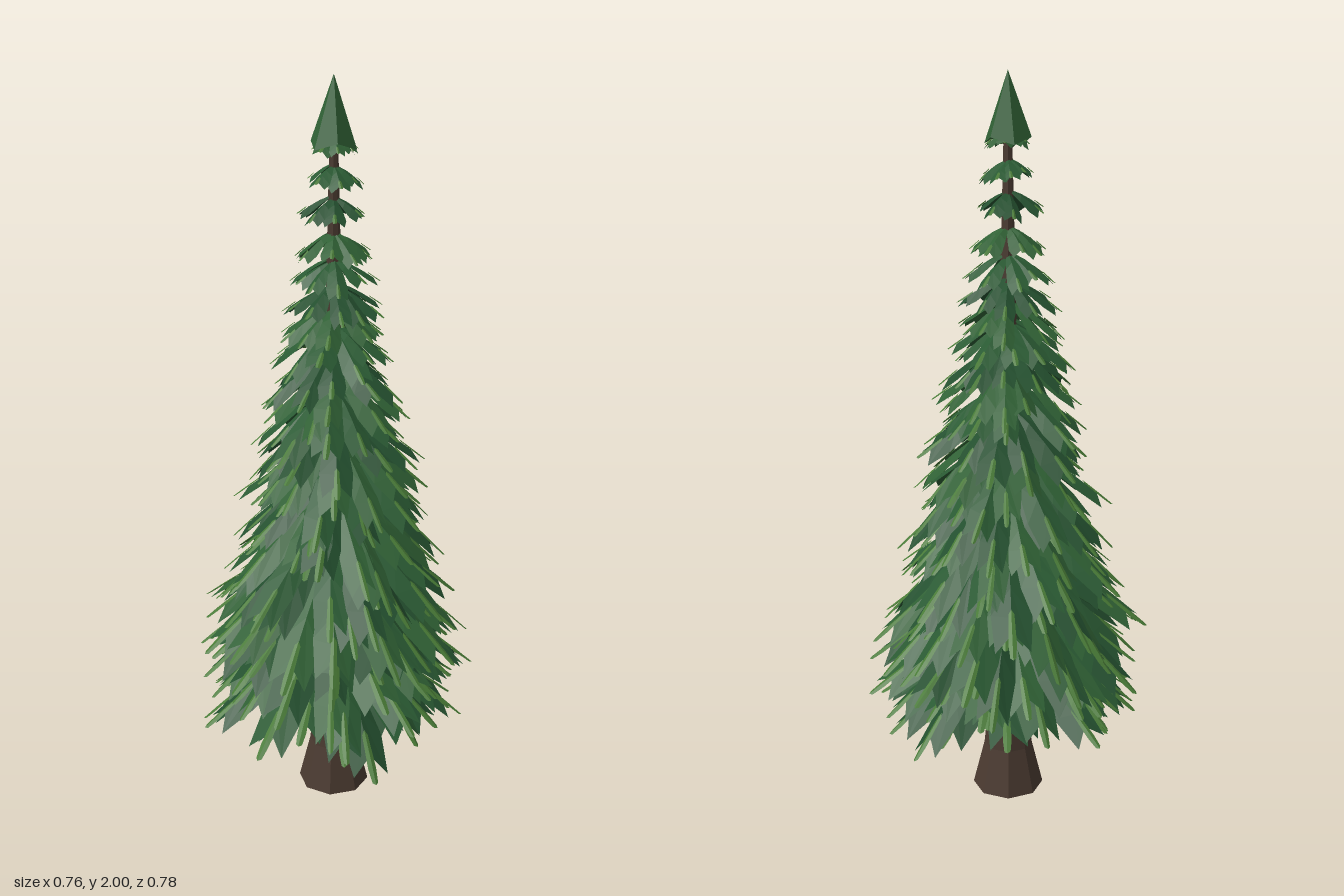
import * as THREE from 'three';
import { mergeGeometries } from 'three/addons/utils/BufferGeometryUtils.js';

const AXIS_X = -0.01, AXIS_Z = 0.01;

// Small seeded generator, returns 0..1
let seed = 7;
function rand() {
  seed = (seed * 16807) % 2147483647;
  return seed / 2147483647;
}
const vary = (amount) => (rand() * 2 - 1) * amount;

// Branch envelope: [attachment height, reach, droop]
const ENVELOPE = [
  [0.49, 0.36, 0.24], [0.62, 0.375, 0.25], [0.75, 0.36, 0.26], [0.90, 0.315, 0.23],
  [1.05, 0.26, 0.19], [1.20, 0.22, 0.15], [1.35, 0.18, 0.11], [1.46, 0.145, 0.085],
  [1.62, 0.105, 0.06], [1.78, 0.078, 0.045], [1.85, 0.06, 0.035],
];
function envelopeAt(y) {
  let i = 0;
  while (i < ENVELOPE.length - 2 && y > ENVELOPE[i + 1][0]) i++;
  const a = ENVELOPE[i], b = ENVELOPE[i + 1];
  const t = (y - a[0]) / (b[0] - a[0]);
  return [1, 2].map((k) => THREE.MathUtils.lerp(a[k], b[k], t));
}

// Frond sections: [position along spine, position along edge, half width]
const BLADE = [[0, 0, 0.25], [0.3, 0.35, 0.7], [0.55, 0.66, 1], [0.74, 0.9, 0.85], [0.84, 0.85, 0.25]];
const FINGER = [[0.7, 0.72, 0.14], [0.88, 0.9, 0.2], [1, 0.98, 0.14]];

// Ridged, drooping strip that grows along +x from the trunk
function frondStrip(sections, reach, droop, halfWidth, lift) {
  const start = 0.01;
  const drop = (t) => -droop * Math.pow(t, 1.3);
  const pos = [], index = [];
  sections.forEach(([ts, te, w], i) => {
    const side = w * halfWidth;
    const ex = start + te * (reach - start);
    const ey = drop(te) - side * 0.5 + lift;
    pos.push(ex, ey, -side);
    pos.push(start + ts * (reach - start), drop(ts) + lift, 0);
    pos.push(ex, ey, side);
    if (i === 0) return;
    const a = (i - 1) * 3, b = i * 3;
    for (let k = 0; k < 2; k++) {
      index.push(a + k, a + k + 1, b + k, a + k + 1, b + k + 1, b + k);
    }
  });
  const g = new THREE.BufferGeometry();
  g.setAttribute('position', new THREE.Float32BufferAttribute(pos, 3));
  g.setIndex(index);
  g.computeVertexNormals();
  return g;
}

function createTrunk(material) {
  // Flared foot, then a long taper
  const profile = [[0, 0], [0.1, 0], [0.068, 0.13], [0.054, 0.27], [0.036, 0.8], [0.022, 1.4], [0.01, 1.88]]
    .map(([r, y]) => new THREE.Vector2(r, y));
  const trunk = new THREE.Mesh(new THREE.LatheGeometry(profile, 8), material);
  trunk.name = 'trunk';
  return trunk;
}

function createTier(y, count, turn, bladeMaterial, tipMaterial) {
  const tier = new THREE.Group();
  tier.name = 'branchTier';
  const [reach, droop] = envelopeAt(y);
  const blades = [], tips = [];
  for (let i = 0; i < count; i++) {
    const scale = 0.95 + vary(0.13);
    const r = reach * scale;
    const d = droop * scale * (1 + vary(0.15));
    const width = (0.017 + 0.1 * reach) * (1 + vary(0.15));
    const angle = turn + ((i + vary(0.25)) / count) * Math.PI * 2;
    const height = y + vary(0.05 * reach);
    const roll = vary(0.25);
    const place = (g) => g.rotateX(roll).rotateY(angle).translate(0, height, 0);
    blades.push(place(frondStrip(BLADE, r, d, width, 0)));
    tips.push(place(frondStrip(FINGER, r, d, width, 0.005)));
  }
  const blade = new THREE.Mesh(mergeGeometries(blades), bladeMaterial);
  blade.name = 'fronds';
  const tip = new THREE.Mesh(mergeGeometries(tips), tipMaterial);
  tip.name = 'frondTips';
  tier.add(blade, tip);
  return tier;
}

function createCrown(material) {
  // Pointed top with a slightly ragged skirt
  const g = new THREE.ConeGeometry(0.062, 0.18, 6, 1, true);
  const p = g.attributes.position;
  for (let i = 0; i < p.count; i++) {
    if (p.getY(i) < 0) p.setY(i, p.getY(i) + ((i % 7) % 2 ? 0.018 : 0));
  }
  const crown = new THREE.Mesh(g, material);
  crown.position.y = 1.91;
  crown.name = 'crown';
  return crown;
}

export function createModel() {
  const paint = (color) => new THREE.MeshStandardMaterial({ color, flatShading: true, side: THREE.DoubleSide });
  const bark = paint(0x4a3a30);
  const greens = [paint(0x24502f), paint(0x2a5a33), paint(0x2f6034)];
  const tipGreen = paint(0x487a36);

  const tree = new THREE.Group();
  tree.name = 'coniferTree';
  tree.add(createTrunk(bark));

  // Dense tiers low down, separate whorls near the top
  const heights = [];
  for (let y = 0.47; y < 1.5; y += 0.056) heights.push(y);
  heights.push(1.54, 1.61, 1.70, 1.78, 1.85);
  heights.forEach((y, i) => {
    const count = Math.round(THREE.MathUtils.mapLinear(y, 0.47, 1.85, 17, 7));
    tree.add(createTier(y, count, i * 2.4, greens[i % 3], tipGreen));
  });
  tree.add(createCrown(greens[2]));

  tree.children.forEach((part) => {
    part.position.x = AXIS_X;
    part.position.z = AXIS_Z;
  });
  const model = new THREE.Group();
  model.name = 'model';
  model.add(tree);
  return model;
}
